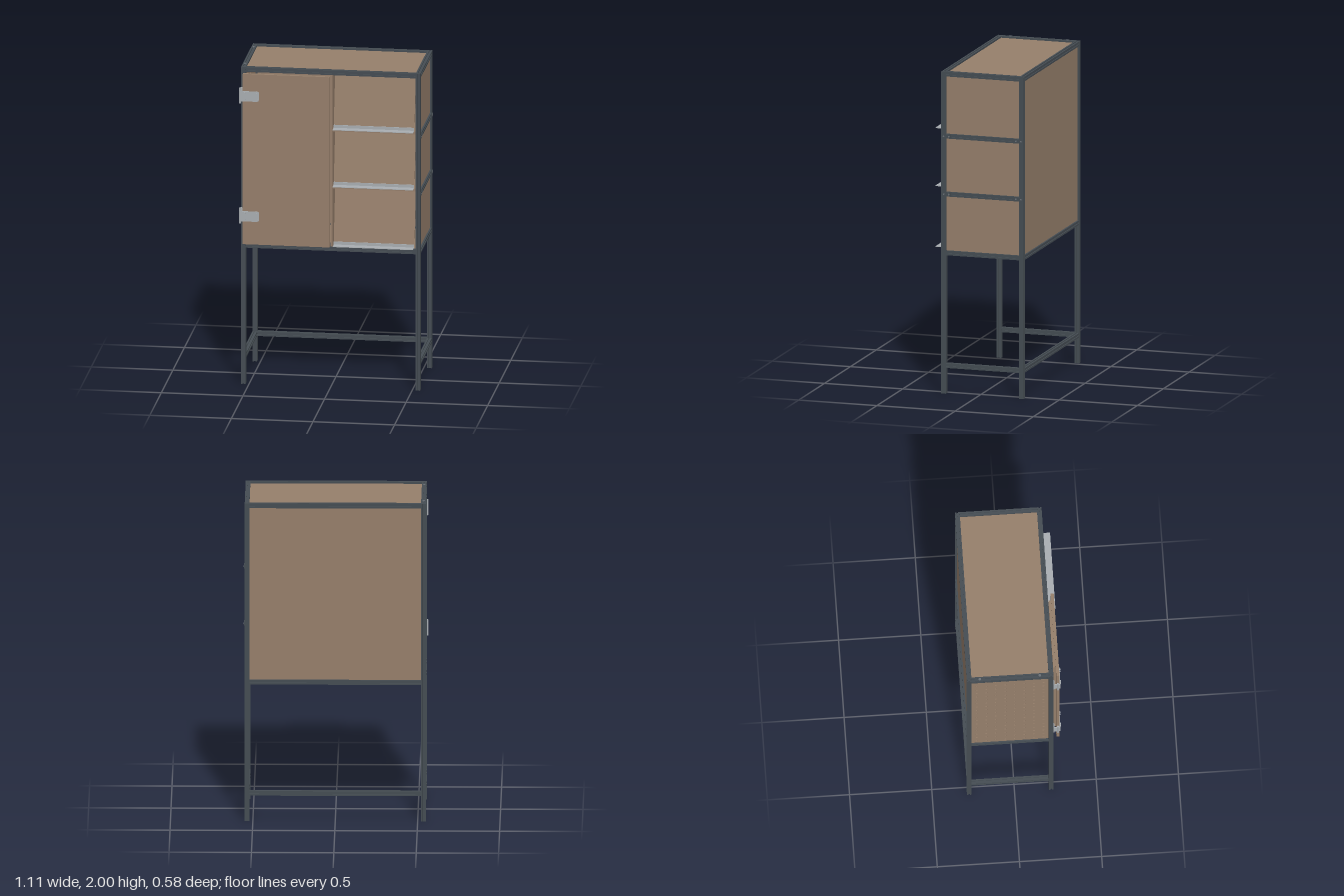
import * as THREE from 'three';

const mat = (name, color, extra = {}) => new THREE.MeshStandardMaterial({ name, color, ...extra });

export function createModel() {
  const frameMat = mat('dark anodised frame', 0x454d53);
  const wood = mat('brown board', 0x967f6b);
  const metal = mat('brushed aluminium', 0xa9aeb2);
  const steel = mat('screw steel', 0x6c7278);

  const model = new THREE.Group();
  model.name = 'cabinet';

  const add = (name, geometry, material, x, y, z, parent = model) => {
    const mesh = new THREE.Mesh(geometry, material);
    mesh.name = name;
    mesh.position.set(x, y, z);
    parent.add(mesh);
    return mesh;
  };
  // Box given by its limits on each axis
  const slab = (name, material, [x0, x1], [y0, y1], [z0, z1], parent = model) =>
    add(name, new THREE.BoxGeometry(x1 - x0, y1 - y0, z1 - z0), material,
      (x0 + x1) / 2, (y0 + y1) / 2, (z0 + z1) / 2, parent);

  // Slotted square profile: one quarter of the outline turned four times
  const H = 0.0145;
  const quarter = [[H, -H], [H, -0.004], [0.0085, -0.004], [0.0085, 0.004], [H, 0.004]];
  const outline = [];
  for (let i = 0; i < 4; i++) {
    for (const [x, y] of quarter) {
      outline.push(new THREE.Vector2(x, y).rotateAround(new THREE.Vector2(), i * Math.PI / 2));
    }
  }
  const section = new THREE.Shape(outline);
  const bar = (name, axis, length, x, y, z) => {
    const g = new THREE.ExtrudeGeometry(section, { depth: length, bevelEnabled: false });
    g.translate(0, 0, -length / 2);
    if (axis === 'x') g.rotateY(Math.PI / 2);
    if (axis === 'y') g.rotateX(-Math.PI / 2);
    return add(name, g, frameMat, x, y, z);
  };

  // Frame
  const X = 0.535, ZB = -0.275, ZF = 0.223, ZM = (ZB + ZF) / 2;
  const TOP = 1.9855, BASE = 0.875, LOW = 0.175;
  const spanX = 2 * (X - H), spanZ = ZF - ZB - 2 * H;
  for (const x of [-X, X]) {
    for (const z of [ZB, ZF]) bar('post', 'y', 2, x, 1, z);
    for (const y of [TOP, BASE, LOW]) bar('sideRail', 'z', spanZ, x, y, ZM);
  }
  for (const y of [TOP, BASE]) {
    for (const z of [ZB, ZF]) bar('longRail', 'x', spanX, 0, y, z);
  }
  bar('lowerBackRail', 'x', spanX, 0, LOW, ZB);
  bar('middleBottomRail', 'z', spanZ, 0, BASE, ZM);

  // Middle side rails with joining plates and bolts
  for (const y of [1.24, 1.6]) {
    bar('middleSideRail', 'z', spanZ, X, y, ZM);
    for (const [z, s] of [[ZB, 1], [ZF, -1]]) {
      const c = z + s * 0.018;
      slab('joiningPlate', frameMat, [X + H, X + H + 0.004], [y - 0.01, y + 0.01], [c - 0.026, c + 0.026]);
      for (const d of [-0.016, 0.016]) {
        const bolt = add('bolt', new THREE.CylinderGeometry(0.005, 0.005, 0.003, 12), steel, X + H + 0.0045, y, c + d);
        bolt.rotation.z = Math.PI / 2;
      }
    }
  }
  for (const z of [-0.21, 0.155]) {
    add('topBolt', new THREE.CylinderGeometry(0.008, 0.008, 0.004, 16), steel, -X, 2, z);
  }

  // Boards held in the frame slots
  const T = 0.004;
  slab('topBoard', wood, [-0.525, 0.525], [TOP - T, TOP + T], [ZB + 0.01, ZF - 0.01]);
  slab('bottomBoard', wood, [-0.525, 0.525], [BASE - T, BASE + T], [ZB + 0.01, ZF - 0.01]);
  slab('backBoard', wood, [-0.525, 0.525], [BASE + 0.01, TOP - 0.01], [ZB - T, ZB + T]);
  const levels = [BASE, 1.24, 1.6, TOP];
  for (let i = 0; i < 3; i++) {
    slab('sideBoard', wood, [X - T, X + T], [levels[i] + 0.01, levels[i + 1] - 0.01], [ZB + 0.01, ZF - 0.01]);
  }

  // Perforated board
  const w = (spanZ + 0.01) / 2, h = (TOP - BASE - 0.02) / 2;
  const peg = new THREE.Shape([[-w, -h], [w, -h], [w, h], [-w, h]].map(p => new THREE.Vector2(...p)));
  for (let i = 0; i < 8; i++) {
    for (let j = 0; j < 18; j++) {
      const hole = new THREE.Path();
      hole.absarc((i - 3.5) * 0.058, (j - 8.5) * 0.06, 0.007, 0, Math.PI * 2, true);
      peg.holes.push(hole);
    }
  }
  const pegGeometry = new THREE.ExtrudeGeometry(peg, { depth: 2 * T, bevelEnabled: false, curveSegments: 4 });
  pegGeometry.translate(0, 0, -T).rotateY(-Math.PI / 2);
  add('perforatedBoard', pegGeometry, wood, -X, (TOP + BASE) / 2, ZM);

  // Inner divider and shelves
  const innerZ = [ZB + T, 0.236];
  slab('divider', wood, [0, 0.013], [0.89, 1.971], innerZ);
  for (const y of [1.265, 1.625]) slab('shelf', wood, [0.013, 0.519], [y - 0.009, y + 0.009], [ZB + T, 0.234]);

  // Tilted display boards with an angled metal lip
  for (const [y0, y1] of [[0.9, 1.252], [1.277, 1.613], [1.637, 1.968]]) {
    const display = new THREE.Group();
    display.name = 'displayShelf';
    model.add(display);
    const length = Math.hypot(y1 - y0, 0.065);
    const board = add('tiltedBoard', new THREE.BoxGeometry(0.494, length, 0.01), wood, 0.266, (y0 + y1) / 2, 0.199, display);
    board.rotation.x = -Math.atan2(0.065, y1 - y0);
    slab('lipFloor', metal, [0.02, 0.512], [y0, y0 + 0.004], [0.238, 0.287], display);
    slab('lipBack', metal, [0.02, 0.512], [y0 + 0.004, y0 + 0.022], [0.238, 0.242], display);
  }

  // Door with inner layer
  slab('door', wood, [-0.533, -0.001], [0.893, 1.968], [0.256, 0.275]);
  slab('doorInnerLayer', wood, [-0.47, -0.038], [0.91, 1.95], [0.24, 0.256]);

  // Hinges
  const plate = new THREE.Shape();
  plate.moveTo(-0.545, -0.032);
  plate.lineTo(-0.45, -0.032);
  plate.quadraticCurveTo(-0.432, -0.032, -0.432, -0.014);
  plate.lineTo(-0.432, 0.014);
  plate.quadraticCurveTo(-0.432, 0.032, -0.45, 0.032);
  plate.lineTo(-0.545, 0.032);
  for (const y of [1.07, 1.828]) {
    const hinge = new THREE.Group();
    hinge.name = 'hinge';
    hinge.position.y = y;
    model.add(hinge);
    add('doorLeaf', new THREE.ExtrudeGeometry(plate, { depth: 0.005, bevelEnabled: false }), metal, 0, 0, 0.275, hinge);
    slab('postLeaf', metal, [-0.553, -0.525], [-0.045, 0.045], [0.238, 0.243], hinge);
    slab('leafArm', metal, [-0.553, -0.547], [-0.032, 0.032], [0.243, 0.28], hinge);
    add('hingePin', new THREE.CylinderGeometry(0.006, 0.006, 0.1, 16), metal, -0.552, 0, 0.264, hinge);
    for (const x of [-0.522, -0.447]) {
      for (const dy of [-0.018, 0.018]) {
        const bolt = add('hingeBolt', new THREE.CylinderGeometry(0.006, 0.006, 0.006, 12), metal, x, dy, 0.282, hinge);
        bolt.rotation.x = Math.PI / 2;
      }
    }
  }
  return model;
}
